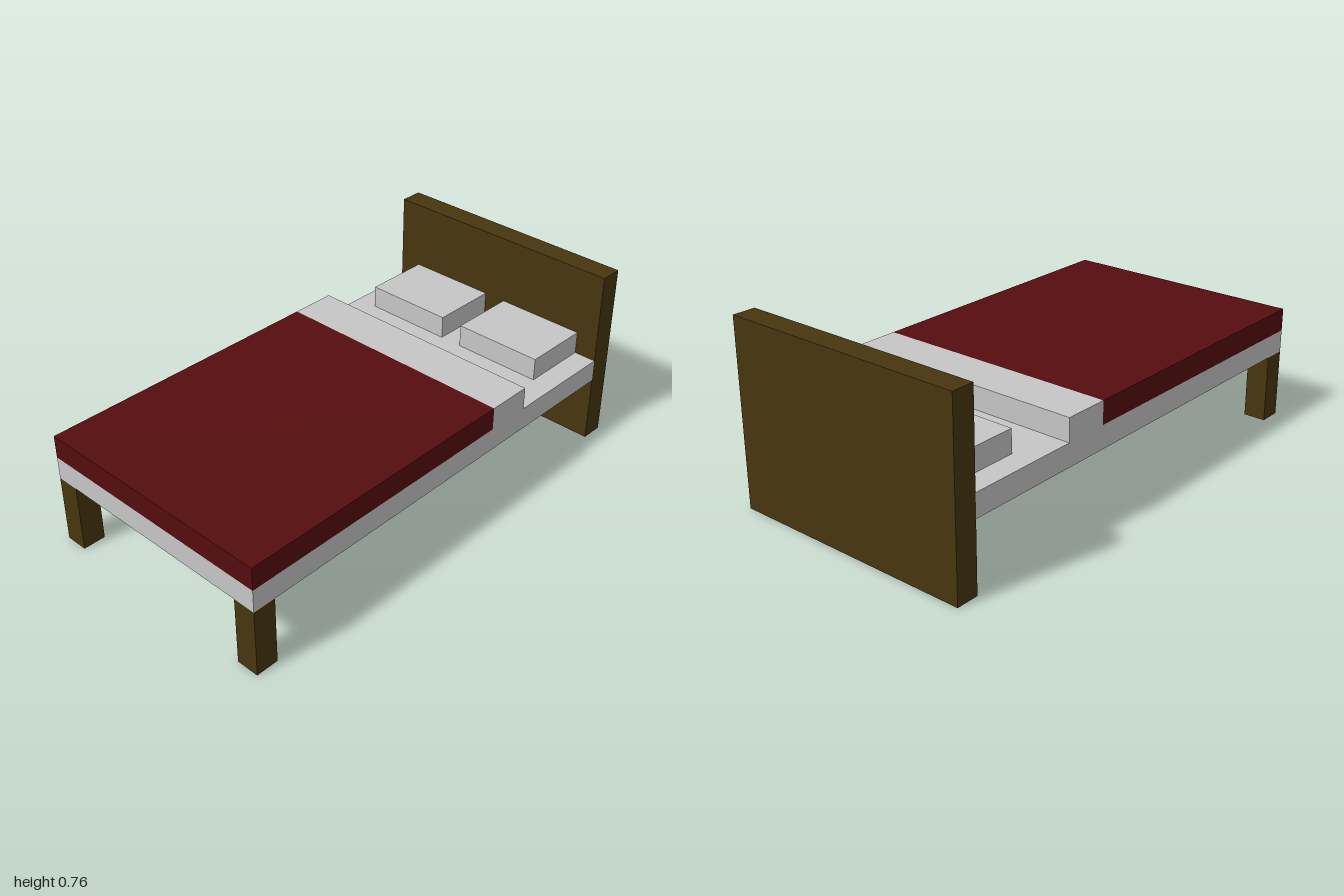
import * as THREE from 'three';

const U = 2 / 21; // block unit: the bed is 21 units long and 11 wide

export function createModel() {
  const bed = new THREE.Group();
  bed.name = 'bed';

  const wood = new THREE.MeshStandardMaterial({ name: 'dark wood', color: 0x47350f });
  const linen = new THREE.MeshStandardMaterial({ name: 'linen', color: 0xc6c6c6 });
  const red = new THREE.MeshStandardMaterial({ name: 'red blanket', color: 0x550d0f });

  // Box given by its minimum and maximum corners, in block units
  function block(name, material, [x0, y0, z0], [x1, y1, z1]) {
    const geometry = new THREE.BoxGeometry((x1 - x0) * U, (y1 - y0) * U, (z1 - z0) * U);
    const mesh = new THREE.Mesh(geometry, material);
    mesh.position.set((x0 + x1) * U / 2, (y0 + y1) * U / 2, (z0 + z1) * U / 2);
    mesh.name = name;
    bed.add(mesh);
  }

  // Frame
  block('headboard', wood, [-5.5, 0, -10.5], [5.5, 8, -9.5]);
  block('leftFrontLeg', wood, [4.5, 0, 9.5], [5.5, 3, 10.5]);
  block('rightFrontLeg', wood, [-5.5, 0, 9.5], [-4.5, 3, 10.5]);

  // Bedding
  block('mattress', linen, [-5.5, 3, -9.5], [5.5, 4, 10.5]);
  block('blanket', red, [-5.5, 4, -2.5], [5.5, 5, 10.5]);
  block('foldedSheet', linen, [-5.5, 4, -4.5], [5.5, 5, -2.5]);
  block('leftPillow', linen, [0.5, 4, -9.5], [4.5, 5, -6.5]);
  block('rightPillow', linen, [-4.5, 4, -9.5], [-0.5, 5, -6.5]);

  return bed;
}
